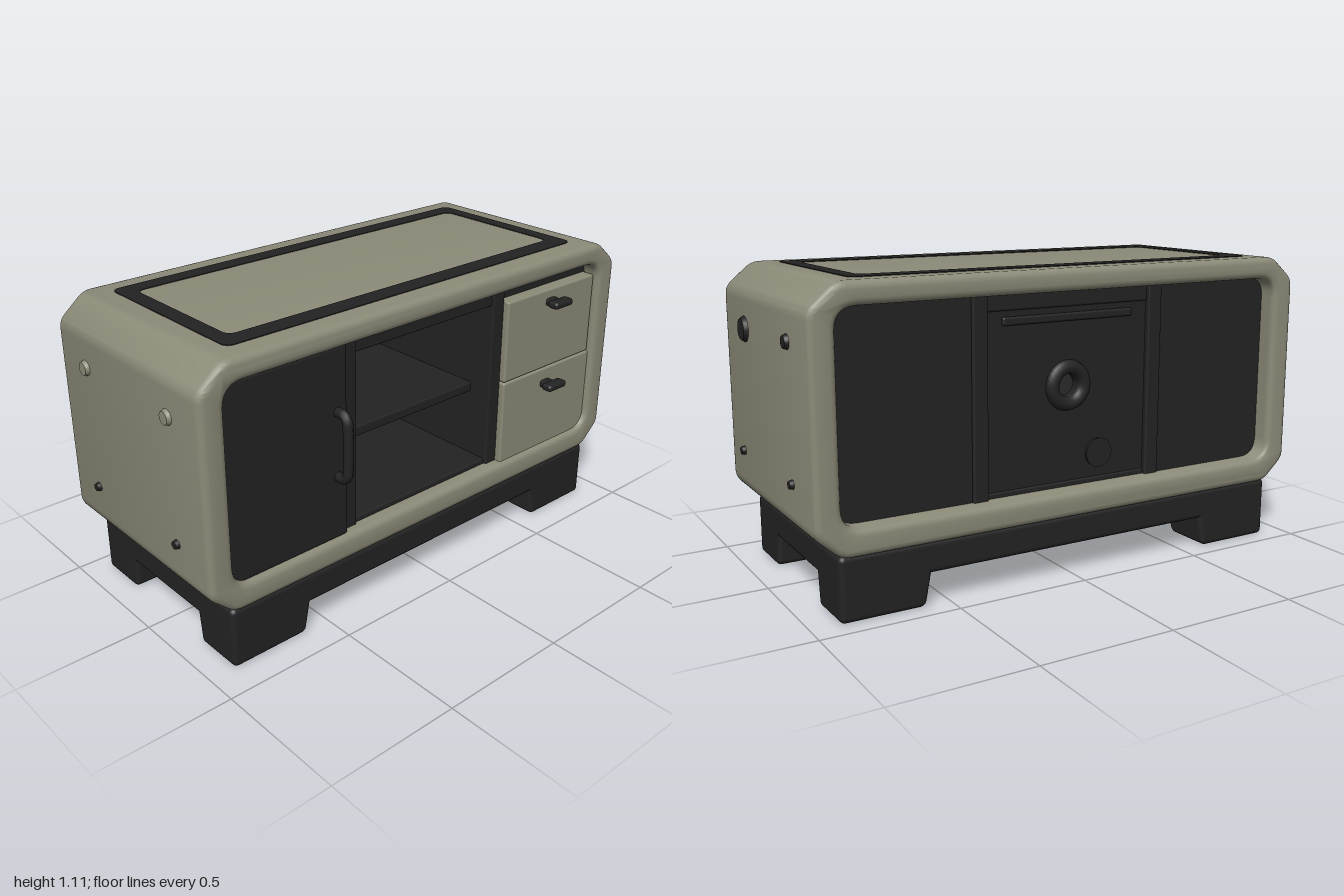
import * as THREE from 'three';
import { toCreasedNormals } from 'three/addons/utils/BufferGeometryUtils.js';
import { RoundedBoxGeometry } from 'three/addons/geometries/RoundedBoxGeometry.js';

const cream = new THREE.MeshStandardMaterial({ color: 0x8c8a78 });
cream.name = 'warm grey shell';
const dark = new THREE.MeshStandardMaterial({ color: 0x232323 });
dark.name = 'charcoal';

// Closed outline with softened corners
function softOutline(path, pts, r) {
  const v = pts.map(p => new THREE.Vector2(p[0], p[1]));
  v.forEach((p, i) => {
    const a = v[(i + v.length - 1) % v.length], b = v[(i + 1) % v.length];
    const s = a.clone().sub(p).setLength(r).add(p);
    const e = b.clone().sub(p).setLength(r).add(p);
    if (i) path.lineTo(s.x, s.y); else path.moveTo(s.x, s.y);
    path.quadraticCurveTo(p.x, p.y, e.x, e.y);
  });
  path.closePath();
  return path;
}
const rect = (x0, y0, x1, y1) => [[x0, y0], [x1, y0], [x1, y1], [x0, y1]];

export function createModel() {
  const model = new THREE.Group();
  model.name = 'mediaCabinet';

  function add(name, geometry, material, x = 0, y = 0, z = 0) {
    const mesh = new THREE.Mesh(geometry, material);
    mesh.name = name;
    mesh.position.set(x, y, z);
    model.add(mesh);
    return mesh;
  }
  // Box given by its limits
  function box(name, mat, x0, x1, y0, y1, z0, z1, r = 0.008) {
    return add(name, new RoundedBoxGeometry(x1 - x0, y1 - y0, z1 - z0, 3, r), mat,
      (x0 + x1) / 2, (y0 + y1) / 2, (z0 + z1) / 2);
  }

  // Shell: chamfered tube, open at front and back
  const shell = softOutline(new THREE.Shape(), [
    [-0.89, 0.225], [0.89, 0.225], [0.985, 0.31], [0.985, 1.025],
    [0.885, 1.11], [-0.885, 1.11], [-0.985, 1.025], [-0.985, 0.31]], 0.03);
  shell.holes.push(softOutline(new THREE.Path(), rect(-0.89, 0.32, 0.89, 1.03), 0.075));
  const b = 0.025;
  add('shell', toCreasedNormals(new THREE.ExtrudeGeometry(shell, {
    depth: 0.855 - 2 * b, bevelThickness: b, bevelSize: b, bevelOffset: -b,
    bevelSegments: 4, curveSegments: 6 }), 0.7), cream, 0, 0, -0.455 + b);

  // Inlaid band on the top
  const band = softOutline(new THREE.Shape(), rect(-0.815, -0.31, 0.81, 0.37), 0.035);
  band.holes.push(softOutline(new THREE.Path(), rect(-0.755, -0.235, 0.755, 0.305), 0.035));
  add('topBand', new THREE.ExtrudeGeometry(band, { depth: 0.006, bevelEnabled: false }),
    dark, 0, 1.107, 0).rotation.x = -Math.PI / 2;

  // Door, drawers and the compartments behind them
  box('leftCompartment', dark, -0.90, -0.39, 0.31, 1.04, -0.385, 0.33);
  box('rightCompartment', dark, 0.385, 0.90, 0.31, 1.04, -0.385, 0.33);
  box('door', dark, -0.90, -0.395, 0.315, 1.035, 0.32, 0.38, 0.015);
  box('upperDrawer', cream, 0.385, 0.885, 0.657, 0.98, 0.30, 0.38);
  box('lowerDrawer', cream, 0.385, 0.895, 0.31, 0.653, 0.30, 0.38);

  // Open niche
  box('leftDivider', dark, -0.395, -0.335, 0.31, 1.04, -0.395, 0.355);
  box('rightDivider', dark, 0.33, 0.39, 0.31, 1.04, -0.395, 0.355);
  box('nicheCeiling', dark, -0.34, 0.335, 0.97, 1.04, -0.38, 0.345);
  box('nicheFloor', dark, -0.34, 0.335, 0.31, 0.34, -0.38, 0.345);
  box('shelf', dark, -0.34, 0.335, 0.60, 0.64, -0.36, 0.26);
  const back = new THREE.Shape();
  softOutline(back, rect(-0.34, 0.32, 0.335, 1.03), 0.01);
  back.holes.push(new THREE.Path().absarc(0, 0.69, 0.04, 0, Math.PI * 2, true));
  add('nicheBack', new THREE.ExtrudeGeometry(back, {
    depth: 0.03, bevelEnabled: false, curveSegments: 24 }), dark, 0, 0, -0.375);

  // Cable port, vent plug and raised trim at the back
  add('cablePortRing', new THREE.TorusGeometry(0.066, 0.026, 10, 32), dark, 0, 0.69, -0.375);
  add('ventPlug', new THREE.CylinderGeometry(0.045, 0.055, 0.06, 24), dark, -0.13, 0.43, -0.36)
    .rotation.x = Math.PI / 2;
  add('ventPlugRim', new THREE.TorusGeometry(0.04, 0.008, 8, 24), dark, -0.13, 0.43, -0.33);
  box('backTrim', dark, -0.27, 0.27, 0.92, 0.95, -0.388, -0.37);

  // Door pull
  const pull = new THREE.CatmullRomCurve3([
    [0.56, 0.37], [0.56, 0.41], [0.585, 0.43], [0.68, 0.433],
    [0.775, 0.43], [0.80, 0.41], [0.80, 0.37],
  ].map(([y, z]) => new THREE.Vector3(-0.44, y, z)), false, 'catmullrom', 0.3);
  add('doorPull', new THREE.TubeGeometry(pull, 40, 0.018, 10), dark);

  // Drawer pulls: short stem with a wide lip
  for (const [name, y] of [['upper', 0.935], ['lower', 0.595]]) {
    box(name + 'PullStem', dark, 0.60, 0.65, y - 0.018, y + 0.01, 0.37, 0.44);
    box(name + 'PullLip', dark, 0.575, 0.675, y - 0.013, y + 0.015, 0.405, 0.452, 0.012);
  }

  // Small side buttons: z, y, radius, for each side
  const buttons = [
    [1, 0.17, 0.895, 0.05, dark], [1, -0.27, 0.91, 0.028, dark],
    [1, 0.24, 0.445, 0.018, dark], [1, -0.27, 0.445, 0.018, dark],
    [-1, 0.22, 0.9, 0.03, cream], [-1, -0.28, 0.9, 0.03, cream],
    [-1, 0.22, 0.445, 0.018, dark], [-1, -0.28, 0.445, 0.018, dark]];
  for (const [side, z, y, r, mat] of buttons) {
    add('sideButton', new THREE.CylinderGeometry(r * 0.75, r, 0.02, 20), mat, side * 0.989, y, z)
      .rotation.z = -side * Math.PI / 2;
  }

  // Plinth slab and four feet that taper on their inner sides
  box('plinth', dark, -0.905, 0.9, 0.115, 0.23, -0.435, 0.39, 0.02);
  for (const sx of [-1, 1]) for (const sz of [-1, 1]) {
    const w = 0.34, h = 0.19, d = 0.22;
    const foot = new RoundedBoxGeometry(w, h, d, 4, 0.02);
    const p = foot.attributes.position;
    for (let i = 0; i < p.count; i++) {
      const t = THREE.MathUtils.clamp((0.02 - p.getY(i)) / 0.115, 0, 1);
      if (p.getX(i) * sx < 0) p.setX(i, p.getX(i) + sx * 0.035 * t);
      if (p.getZ(i) * sz < 0) p.setZ(i, p.getZ(i) + sz * 0.022 * t);
    }
    add('foot', foot, dark, sx * (0.9025 - w / 2) - 0.0025, h / 2, -0.0225 + sz * (0.4125 - d / 2));
  }
  return model;
}
